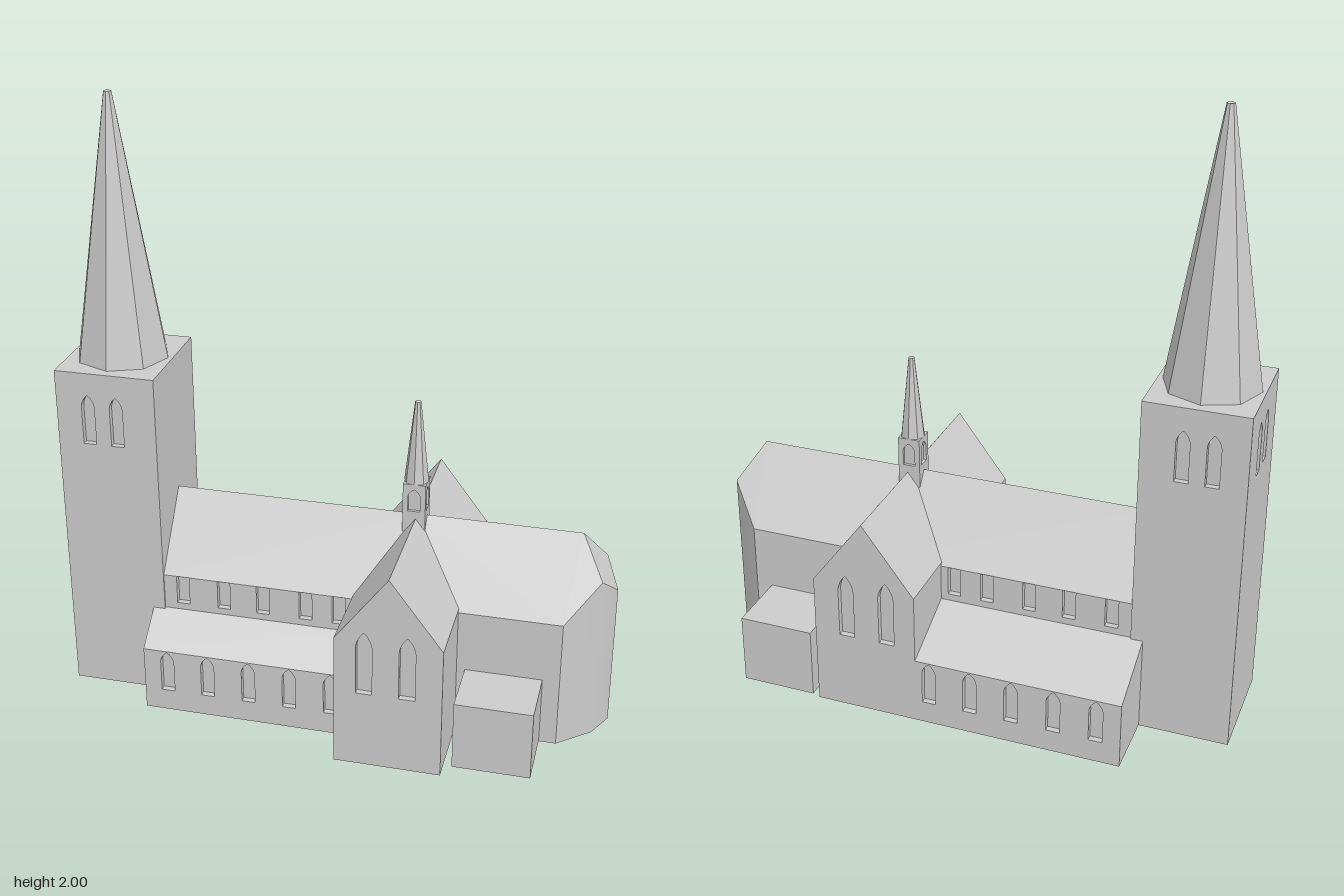
import * as THREE from 'three';
import { toCreasedNormals } from 'three/addons/utils/BufferGeometryUtils.js';
import { ConvexGeometry } from 'three/addons/geometries/ConvexGeometry.js';

const stone = new THREE.MeshStandardMaterial({ color: 0xcccccc });
stone.name = 'stone';

const AXIS = -0.012;   // z of the long axis
const HALF = 0.18;     // half width of nave and choir
const EAVE = 0.445, RIDGE = 0.684;
const INSET = 0.02;    // depth of window recesses

function add(parent, name, geometry, x = 0, y = 0, z = 0) {
  const mesh = new THREE.Mesh(geometry, stone);
  mesh.name = name;
  mesh.position.set(x, y, z);
  parent.add(mesh);
  return mesh;
}

function addBox(parent, name, x0, x1, y0, y1, z0, z1) {
  return add(parent, name, new THREE.BoxGeometry(x1 - x0, y1 - y0, z1 - z0),
    (x0 + x1) / 2, (y0 + y1) / 2, (z0 + z1) / 2);
}

const toShape = (pts) => new THREE.Shape(pts.map(([x, y]) => new THREE.Vector2(x, y)));

function extrude(shape, depth) {
  return new THREE.ExtrudeGeometry(shape, { depth, bevelEnabled: false });
}

// Extrudes a [z, y] profile along +x
function extrudeX(pts, depth, holes = []) {
  const shape = toShape(pts.map(([z, y]) => [-z, y]));
  shape.holes = holes;
  return extrude(shape, depth).rotateY(Math.PI / 2);
}

// Pointed window outline; head = 0 gives a flat top
function lancet(cx, y0, y1, width, head) {
  const w = width / 2, s = y1 - head;
  const p = new THREE.Path();
  p.moveTo(cx - w, y0);
  p.lineTo(cx + w, y0);
  p.lineTo(cx + w, s);
  if (head > 0) {
    p.quadraticCurveTo(cx + w * 0.85, s + head * 0.6, cx, y1);
    p.quadraticCurveTo(cx - w * 0.85, s + head * 0.6, cx - w, s);
  } else p.lineTo(cx - w, s);
  p.closePath();
  return p;
}

// Wall facing z, pierced by windows
function panel(pts, windows, depth = INSET) {
  const shape = toShape(pts);
  shape.holes = windows;
  return extrude(shape, depth);
}

const rect = (x0, x1, y0, y1) => [[x0, y0], [x1, y0], [x1, y1], [x0, y1]];

function createTower() {
  const g = new THREE.Group();
  g.name = 'tower';
  const x0 = -0.9, x1 = -0.57, h = 1.145, half = 0.185, inner = half - INSET;
  addBox(g, 'towerCore', x0 + INSET, x1, 0, h, AXIS - inner, AXIS + inner);
  const pair = (c, gap) => [-1, 1].map((s) => lancet(c + s * gap, 0.9, 1.07, 0.043, 0.04));
  for (const z of [AXIS + inner, AXIS - half]) {
    add(g, 'towerSideWall', panel(rect(x0, x1, 0, h), pair(-0.747, 0.047)), 0, 0, z);
  }
  add(g, 'towerEndWall', extrudeX(rect(-inner, inner, 0, h), INSET, pair(0, 0.047)), x0, 0, AXIS);
  const spire = new THREE.CylinderGeometry(0.013, 0.152, 2 - h, 8).toNonIndexed();
  spire.computeVertexNormals();
  add(g, 'towerSpire', spire, -0.737, (2 + h) / 2, AXIS);
  return g;
}

function createNave() {
  const g = new THREE.Group();
  g.name = 'nave';
  const w = HALF - INSET;
  // Gabled body whose roof overhangs the recessed wall core
  add(g, 'naveBody', extrudeX([[-w, 0], [w, 0], [w, EAVE], [HALF, EAVE], [0, RIDGE],
    [-HALF, EAVE], [-w, EAVE]], 0.81), -0.57, 0, AXIS);
  const clerestory = [-0.505, -0.365, -0.232, -0.088, 0.023];
  const low = [-0.53, -0.392, -0.253, -0.115, 0.023];
  for (const s of [1, -1]) {
    const back = s > 0 ? -INSET : 0;
    add(g, 'clerestoryWall', panel(rect(-0.57, 0.1, 0.2, EAVE),
      clerestory.map((x) => lancet(x, 0.345, EAVE - 0.001, 0.043, 0))), 0, 0, AXIS + s * HALF + back);
    // Lean-to aisle, deeper at the back
    const outer = s > 0 ? 0.285 : -0.42, core = outer - s * INSET;
    const wall = AXIS + s * HALF, inside = AXIS + s * 0.15;
    add(g, 'aisleBody', extrudeX([[inside, 0], [core, 0], [core, 0.225], [outer, 0.225],
      [wall, 0.322], [inside, 0.322]], 0.69), -0.61, 0, 0);
    add(g, 'aisleWall', panel(rect(-0.61, 0.08, 0, 0.225),
      low.map((x) => lancet(x, 0.075, 0.221, 0.045, 0.035))), 0, 0, outer + back);
  }
  return g;
}

function createTransept() {
  const g = new THREE.Group();
  g.name = 'transept';
  const c = 0.241, h = 0.172, eave = 0.455, end = 0.42;
  const gable = [[c - h, 0], [c + h, 0], [c + h, eave], [c, RIDGE], [c - h, eave]];
  add(g, 'transeptBody', extrude(toShape(gable), 2 * (end - INSET)), 0, 0, -end + INSET);
  for (const z of [end - INSET, -end]) {
    const windows = [0.165, 0.302].map((x) => lancet(x, 0.265, 0.487, 0.052, 0.055));
    add(g, 'transeptGable', panel(gable, windows), 0, 0, z);
  }
  return g;
}

// Choir with a faceted apse, its roof cut off by a sloping end face
function createChoir() {
  const g = new THREE.Group();
  g.name = 'choir';
  const roofY = (z) => RIDGE - (RIDGE - EAVE) * Math.abs(z) / HALF;
  const points = [new THREE.Vector3(0.24, RIDGE, 0), new THREE.Vector3(0.775, RIDGE, 0)];
  const plan = [[0.24, HALF, roofY(HALF)], [0.745, HALF, roofY(HALF)],
    [0.85, 0.09, roofY(0.09)], [0.895, 0, 0.493]];
  for (const [x, z, top] of plan) {
    for (const s of z ? [1, -1] : [1]) {
      points.push(new THREE.Vector3(x, 0, s * z), new THREE.Vector3(x, top, s * z));
    }
  }
  add(g, 'choirAndApse', toCreasedNormals(new ConvexGeometry(points), 0.6), 0, 0, AXIS);
  addBox(g, 'frontAnnex', 0.44, 0.69, 0, 0.236, 0.1, 0.367);
  addBox(g, 'backAnnex', 0.44, 0.69, 0, 0.236, -0.41, -0.1);
  return g;
}

// Small turret over the crossing
function createTurret() {
  const g = new THREE.Group();
  g.name = 'crossingTurret';
  const half = 0.037, d = 0.01, y0 = 0.62, y1 = 0.805;
  addBox(g, 'turretCore', -half + d, half - d, y0, y1, -half + d, half - d);
  for (let i = 0; i < 4; i++) {
    const wall = panel(rect(-half, half, y0, y1), [lancet(0, 0.71, 0.787, 0.04, 0.025)], d);
    wall.translate(0, 0, half - d).rotateY(i * Math.PI / 2);
    add(g, 'turretWall', wall);
  }
  const spire = new THREE.CylinderGeometry(0.01, 0.04, 1.08 - y1, 8).toNonIndexed();
  spire.computeVertexNormals();
  add(g, 'turretSpire', spire, 0, (1.08 + y1) / 2, 0);
  g.position.set(0.235, 0, AXIS);
  return g;
}

export function createModel() {
  const model = new THREE.Group();
  model.name = 'church';
  model.add(createTower(), createNave(), createTransept(), createChoir(), createTurret());
  return model;
}
